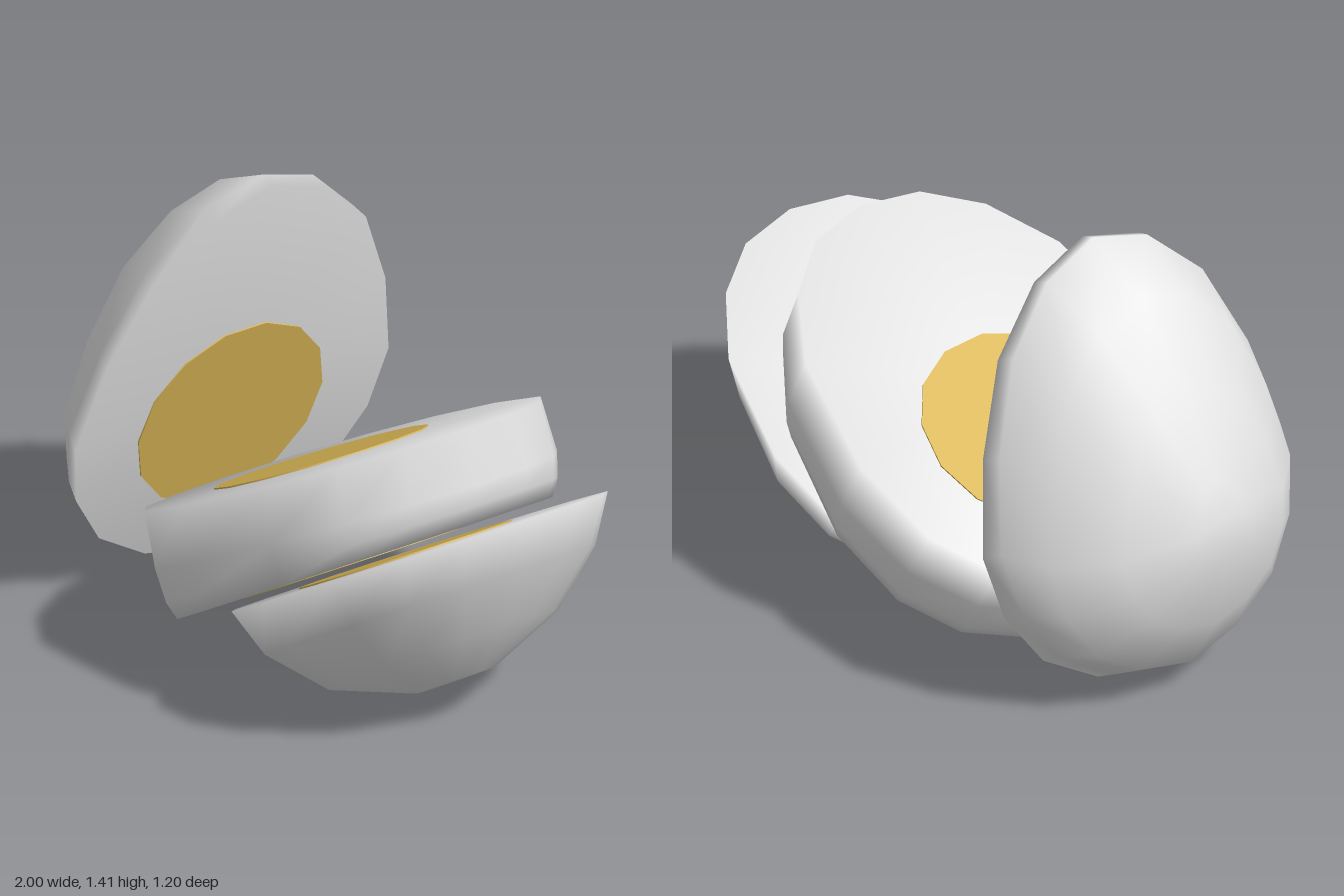
import * as THREE from 'three';

const white = new THREE.MeshStandardMaterial({ color: 0xe6e6e6 });
white.name = 'eggWhite';
const yellow = new THREE.MeshStandardMaterial({ color: 0xdab656 });
yellow.name = 'eggYolk';

// Half outlines of an egg from blunt end to tip: [fraction of length, fraction of half width]
const LONG = [[0, 0], [.04, .4], [.13, .73], [.26, .93], [.41, 1], [.62, .89], [.82, .68], [.95, .36], [1, 0]];
const ROUND = [[0, 0], [.03, .38], [.11, .7], [.25, .92], [.46, 1], [.73, .88], [.88, .65], [.97, .36], [1, 0]];

// Closed loft through egg-shaped rings, each [bluntX, bluntY, tipX, tipY, halfWidth]
function eggSlice(name, rings, half) {
  const loop = [...half, ...half.slice(1, -1).reverse().map(([t, w]) => [t, -w])];
  const n = loop.length, pos = [], idx = [];
  for (const [x0, y0, x1, y1, w] of rings)
    for (const [t, s] of loop) pos.push(x0 + (x1 - x0) * t, y0 + (y1 - y0) * t, w * s);
  const last = (rings.length - 1) * n, c0 = rings.length * n;
  for (const [x0, y0, x1, y1] of [rings[0], rings[rings.length - 1]])
    pos.push((x0 + x1) / 2, (y0 + y1) / 2, 0);
  for (let j = 0; j < n; j++) {
    const k = (j + 1) % n;
    for (let i = 0; i < last; i += n)
      idx.push(i + j, i + n + j, i + k, i + k, i + n + j, i + n + k);
    idx.push(c0, j, k, c0 + 1, last + k, last + j);
  }
  const g = new THREE.BufferGeometry();
  g.setAttribute('position', new THREE.Float32BufferAttribute(pos, 3));
  g.setIndex(idx);
  g.computeVertexNormals();
  const mesh = new THREE.Mesh(g, white);
  mesh.name = name;
  return mesh;
}

// Thin yolk disc lying on the cut face given by a ring
function yolk(name, [x0, y0, x1, y1], t) {
  const mesh = new THREE.Mesh(new THREE.CylinderGeometry(1, 1, .009, 14), yellow);
  mesh.name = name;
  mesh.scale.set(.335, 1, .34);
  mesh.rotation.z = Math.atan2(y1 - y0, x1 - x0);
  mesh.position.set(x0 + (x1 - x0) * t, y0 + (y1 - y0) * t, 0);
  return mesh;
}

export function createModel() {
  const model = new THREE.Group();
  model.name = 'slicedEgg';

  // Upright end slice, from its rounded back to its cut face
  const upright = [
    [-1, .56, -.94, .81, .1],
    [-.96, .31, -.8, 1.08, .32],
    [-.84, .11, -.61, 1.31, .48],
    [-.76, .06, -.39, 1.42, .56],
    [-.69, .02, -.34, 1.4, .58],
  ];
  // Leaning middle slice, from upper to lower cut face
  const middle = [
    [-.56, .32, .68, 1.01, .58],
    [-.47, .17, .73, .84, .6],
    [-.41, .06, .73, .77, .59],
    [-.36, .02, .71, .7, .57],
  ];
  // Lower end slice, from its cut face to its rounded underside
  const lower = [
    [-.08, .17, 1, .84, .57],
    [.06, .07, .96, .65, .51],
    [.28, .01, .87, .42, .36],
    [.52, .06, .73, .2, .12],
  ];

  model.add(
    eggSlice('uprightSlice', upright, LONG),
    eggSlice('middleSlice', middle, ROUND),
    eggSlice('lowerSlice', lower, ROUND),
    yolk('uprightYolk', upright[4], .377),
    yolk('middleUpperYolk', middle[0], .387),
    yolk('middleLowerYolk', middle[3], .41),
    yolk('lowerYolk', lower[0], .407),
  );
  return model;
}
